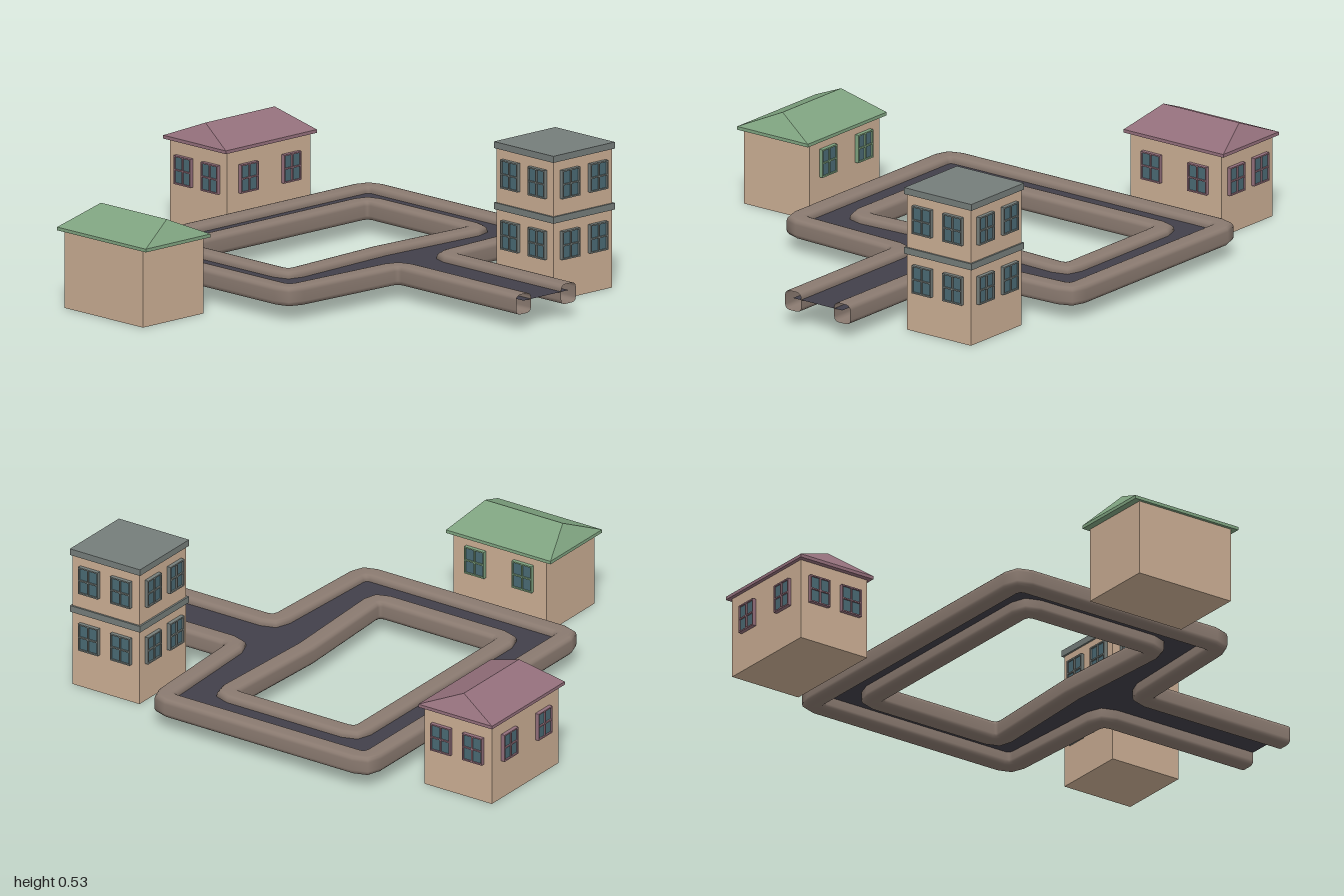
import * as THREE from 'three';
import { ConvexGeometry } from 'three/addons/geometries/ConvexGeometry.js';

const mat = (color, side = THREE.FrontSide) => new THREE.MeshStandardMaterial({ color, side });
const wallMat = mat(0xcbae94), glassMat = mat(0x4a6a74);
const greenMat = mat(0x7fa380), redMat = mat(0x936f7b), greyMat = mat(0x757d7a);
const kerbMat = mat(0x8a7a70, THREE.DoubleSide), roadMat = mat(0x42404a, THREE.DoubleSide);

function add(parent, name, geometry, material, x = 0, y = 0, z = 0) {
  const mesh = new THREE.Mesh(geometry, material);
  mesh.name = name;
  mesh.position.set(x, y, z);
  parent.add(mesh);
  return mesh;
}

// Window: frame with four openings over a glass pane, facing +z
const WIN_W = 0.085, WIN_H = 0.104, WIN_D = 0.015, BAR = 0.005;
function rect(path, x0, y0, x1, y1) {
  path.moveTo(x0, y0);
  path.lineTo(x1, y0);
  path.lineTo(x1, y1);
  path.lineTo(x0, y1);
  path.closePath();
  return path;
}
function frameGeometry() {
  const w = WIN_W / 2, h = WIN_H / 2, b = BAR / 2;
  const shape = rect(new THREE.Shape(), -w, -h, w, h);
  for (const [x0, x1] of [[-w + BAR, -b], [b, w - BAR]])
    for (const [y0, y1] of [[-h + BAR, -b], [b, h - BAR]])
      shape.holes.push(rect(new THREE.Path(), x0, y0, x1, y1));
  return new THREE.ExtrudeGeometry(shape, { depth: WIN_D, bevelEnabled: false });
}
const frameGeo = frameGeometry();
const paneGeo = new THREE.BoxGeometry(WIN_W - BAR, WIN_H - BAR, 0.01);

// Two windows per storey on one side of a building (side 0 front, 1 left, 2 back, 3 right)
function addWindows(building, side, w, d, spacing, heights) {
  const wall = new THREE.Group();
  wall.name = 'windows';
  wall.rotation.y = side * Math.PI / 2;
  for (const y of heights)
    for (const s of [-1, 1]) {
      const out = (side % 2 ? w : d) / 2;
      add(wall, 'windowFrame', frameGeo, building.userData.trim, s * spacing / 2, y, out);
      add(wall, 'windowPane', paneGeo, glassMat, s * spacing / 2, y, out + 0.004);
    }
  building.add(wall);
}

function makeBuilding(name, x, z, w, h, d, trim) {
  const g = new THREE.Group();
  g.name = name;
  g.position.set(x, 0, z);
  g.userData.trim = trim;
  add(g, 'walls', new THREE.BoxGeometry(w, h, d), wallMat, 0, h / 2, 0);
  return g;
}

// Hipped roof on a thin eave slab
function hipRoof(w, d, y, eave, top, ridgeX, ridgeZ) {
  const pts = [];
  for (const sx of [-1, 1]) {
    for (const sz of [-1, 1])
      for (const yy of [y, y + eave]) pts.push(new THREE.Vector3(sx * w / 2, yy, sz * d / 2));
    pts.push(new THREE.Vector3(sx * ridgeX, top, sx * ridgeZ));
  }
  return new ConvexGeometry(pts);
}

// Replaces inner corners of a path by three-point bends
function roundCorners(points, r, closed) {
  const v = points.map(p => new THREE.Vector2(p[0], p[1])), n = v.length, out = [];
  v.forEach((c, i) => {
    const sharp = points[i][2] || (!closed && (i === 0 || i === n - 1));
    if (sharp) return out.push(c);
    const [a, b] = [v[(i + n - 1) % n], v[(i + 1) % n]]
      .map(q => q.clone().sub(c).setLength(r).add(c));
    const mid = a.clone().add(b).multiplyScalar(0.25).addScaledVector(c, 0.5);
    out.push(a, mid, b);
  });
  return out;
}

// Sweeps a rounded square along a flat path with mitred bends
function kerbGeometry(path, closed) {
  const half = 0.036, r = 0.018, yMid = 0.0885, section = [];
  for (let q = 0; q < 4; q++)
    for (let k = 0; k <= 3; k++) {
      const a = (q + k / 3) * Math.PI / 2, m = (q + 0.5) * Math.PI / 2;
      section.push([
        Math.sign(Math.cos(m)) * (half - r) + r * Math.cos(a),
        Math.sign(Math.sin(m)) * (half - r) + r * Math.sin(a)]);
    }
  const n = path.length, m = section.length, pos = [], idx = [];
  path.forEach((p, i) => {
    const prev = path[closed ? (i + n - 1) % n : Math.max(i - 1, 0)];
    const next = path[closed ? (i + 1) % n : Math.min(i + 1, n - 1)];
    const d1 = p.clone().sub(prev).normalize(), d2 = next.clone().sub(p).normalize();
    const t = d1.clone().add(d2).normalize();
    const stretch = 1 / t.dot(d2.lengthSq() ? d2 : d1);
    for (const [u, v] of section)
      pos.push(p.x - t.y * u * stretch, yMid + v, p.y + t.x * u * stretch);
  });
  for (let i = 0; i < (closed ? n : n - 1); i++)
    for (let j = 0; j < m; j++) {
      const a = i * m + j, b = i * m + (j + 1) % m;
      const c = ((i + 1) % n) * m + j, d = ((i + 1) % n) * m + (j + 1) % m;
      idx.push(a, b, c, b, d, c);
    }
  const g = new THREE.BufferGeometry();
  g.setAttribute('position', new THREE.Float32BufferAttribute(pos, 3));
  g.setIndex(idx);
  g.computeVertexNormals();
  return g;
}

function makeRoad() {
  const g = new THREE.Group();
  g.name = 'road';
  const outer = roundCorners([[1, -0.322], [0.365, -0.322], [0.342, -0.835], [-0.545, -0.835],
    [-0.545, 0.415], [0.342, 0.415], [0.365, -0.101], [1, -0.101]], 0.045, false);
  // The third value marks a point kept sharp
  const inner = roundCorners([[-0.395, -0.685], [0.178, -0.685], [0.155, -0.21, 1],
    [0.178, 0.26], [-0.395, 0.26]], 0.045, true);
  add(g, 'outerKerb', kerbGeometry(outer, false), kerbMat);
  add(g, 'innerKerb', kerbGeometry(inner, true), kerbMat);
  // Road surface spans between the kerb centre lines
  const flip = pts => pts.map(p => new THREE.Vector2(p.x, -p.y));
  const shape = new THREE.Shape(flip(outer));
  shape.holes.push(new THREE.Path(flip(inner)));
  add(g, 'roadSurface', new THREE.ShapeGeometry(shape).rotateX(-Math.PI / 2), roadMat, 0, 0.1, 0);
  return g;
}

export function createModel() {
  const model = new THREE.Group();
  model.name = 'neighbourhood';
  model.add(makeRoad());

  // Green-roofed house, windows toward the road only
  const green = makeBuilding('greenHouse', -0.14, 0.712, 0.4, 0.285, 0.296, greenMat);
  add(green, 'roof', hipRoof(0.45, 0.318, 0.28, 0.012, 0.363, 0.167, 0), greenMat);
  addWindows(green, 2, 0.4, 0.296, 0.205, [0.198]);

  // Red-roofed house, windows all round
  const red = makeBuilding('redHouse', -0.84, -0.488, 0.29, 0.31, 0.41, redMat);
  add(red, 'roof', hipRoof(0.318, 0.448, 0.303, 0.012, 0.38, 0, 0.17), redMat);
  for (let s = 0; s < 4; s++) addWindows(red, s, 0.29, 0.41, s % 2 ? 0.21 : 0.137, [0.198]);

  // Two-storey block with a flat slab above each floor
  const block = makeBuilding('apartmentBlock', 0.648, -0.593, 0.288, 0.51, 0.288, greyMat);
  for (const y of [0.296, 0.518])
    add(block, 'floorSlab', new THREE.BoxGeometry(0.302, 0.024, 0.302), greyMat, 0, y, 0);
  for (let s = 0; s < 4; s++) addWindows(block, s, 0.288, 0.288, 0.138, [0.198, 0.42]);

  model.add(green, red, block);
  return model;
}
